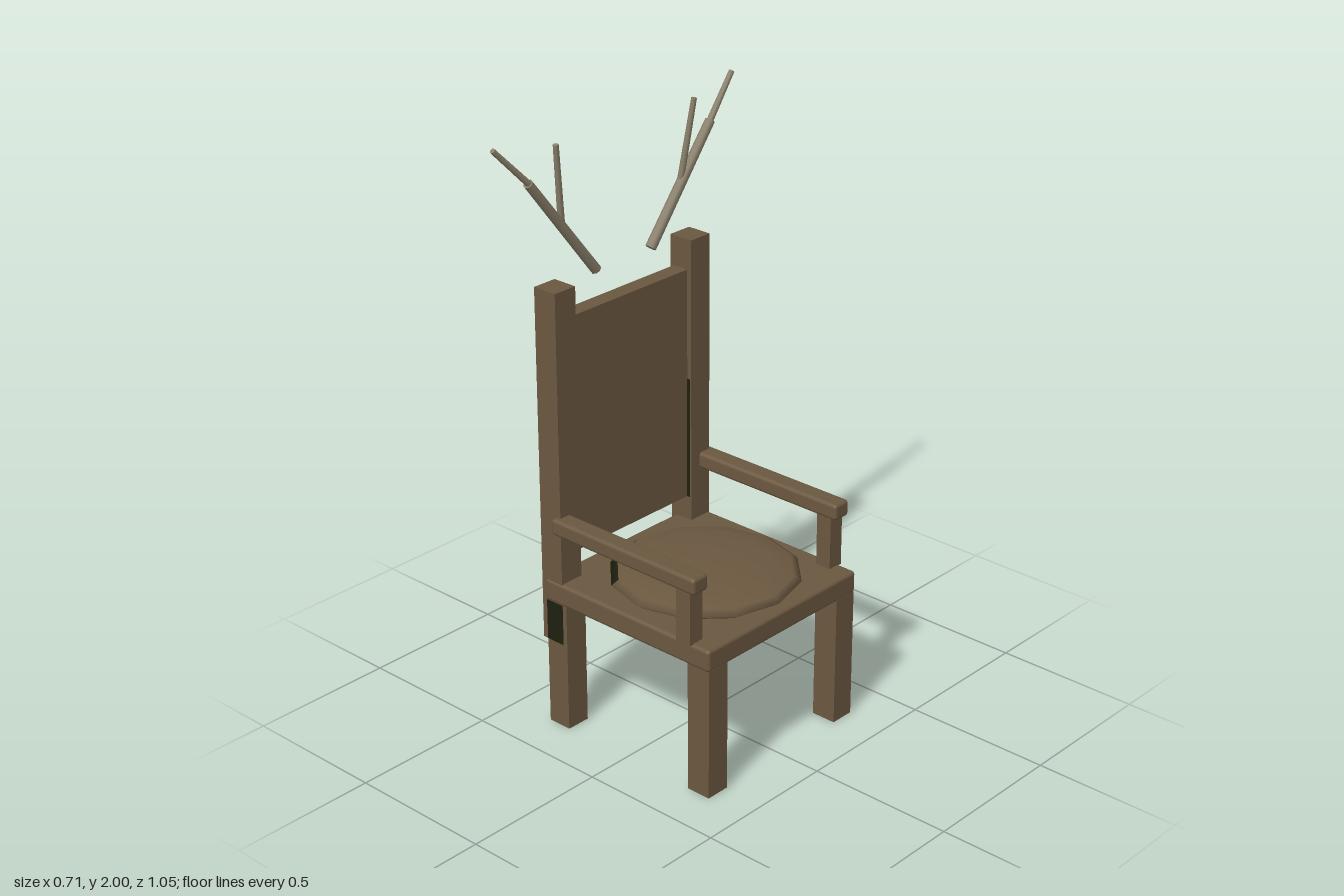
import * as THREE from 'three';
import { RoundedBoxGeometry } from 'three/addons/geometries/RoundedBoxGeometry.js';

const flat = (name, color) => {
  const m = new THREE.MeshStandardMaterial({ color });
  m.name = name;
  return m;
};

export function createModel() {
  const chair = new THREE.Group();
  chair.name = 'antlerChair';
  const wood = flat('brown wood', 0x6b5840);
  const antlerMat = flat('weathered antler', 0x8a806b);
  const dark = flat('dark stain', 0x1e2010);

  const add = (name, geometry, material, parent = chair) => {
    const mesh = new THREE.Mesh(geometry, material);
    mesh.name = name;
    parent.add(mesh);
    return mesh;
  };

  // Box given by its extents; a bevel radius makes it rounded
  const box = (name, [x0, x1], [y0, y1], [z0, z1], bevel = 0, material = wood) => {
    const size = [x1 - x0, y1 - y0, z1 - z0];
    const geometry = bevel ? new RoundedBoxGeometry(...size, 2, bevel) : new THREE.BoxGeometry(...size);
    add(name, geometry, material).position.set((x0 + x1) / 2, (y0 + y1) / 2, (z0 + z1) / 2);
  };

  // Seat and back panel (the chair faces +x)
  box('seat', [-0.345, 0.355], [0.447, 0.523], [-0.35, 0.35], 0.012);
  box('backPanel', [-0.345, -0.288], [0.607, 1.408], [-0.26, 0.26]);

  // Legs, posts and arms on both sides
  for (const s of [1, -1]) {
    const span = (a, b) => (s > 0 ? [a, b] : [-b, -a]);
    const side = s > 0 ? 'left' : 'right';
    box(side + 'BackLeg', [-0.34, -0.255], [0, 0.45], span(0.26, 0.345));
    box(side + 'FrontLeg', [0.265, 0.352], [0, 0.45], span(0.26, 0.345));
    box(side + 'BackPost', [-0.359, -0.271], [0.305, 1.51], span(0.2585, 0.3455));
    box(side + 'Armrest', [-0.296, 0.308], [0.7, 0.756], span(0.298, 0.365), 0.012);
    box(side + 'ArmSupport', [0.23, 0.286], [0.52, 0.702], span(0.302, 0.358));
  }

  // Dark stains at the post foot and beside the panel
  box('postStain', [-0.34, -0.271], [0.305, 0.447], [0.345, 0.3465], 0, dark);
  box('panelStain', [-0.288, -0.276], [0.607, 1.03], [-0.259, -0.257], 0, dark);

  // Cushion: flattened twelve-sided sphere, two rim cells per side stained
  const pad = new THREE.SphereGeometry(1, 12, 8);
  pad.scale(0.31, 0.043, 0.31);
  let start = 0;
  for (const cell of [186, 240, 258, 312]) {
    pad.addGroup(start, cell - start, 0);
    pad.addGroup(cell, 6, 1);
    start = cell + 6;
  }
  pad.addGroup(start, pad.index.count - start, 0);
  add('cushion', pad, [wood, dark]).position.set(0.025, 0.541, 0);

  // Antlers: a beam, an outer tine and an upright tine on each side
  const rod = (name, from, to, r0, r1, parent) => {
    const a = new THREE.Vector3(...from), b = new THREE.Vector3(...to);
    const dir = b.clone().sub(a);
    const mesh = add(name, new THREE.CylinderGeometry(r1, r0, dir.length(), 8), antlerMat, parent);
    mesh.position.copy(a).add(b).multiplyScalar(0.5);
    mesh.quaternion.setFromUnitVectors(new THREE.Vector3(0, 1, 0), dir.normalize());
  };
  for (const s of [1, -1]) {
    const antler = new THREE.Group();
    antler.name = s > 0 ? 'leftAntler' : 'rightAntler';
    rod('beam', [-0.317, 1.513, s * 0.122], [-0.317, 1.862, s * 0.398], 0.018, 0.016, antler);
    rod('outerTine', [-0.314, 1.85, s * 0.385], [-0.335, 1.99, s * 0.519], 0.011, 0.009, antler);
    rod('uprightTine', [-0.319, 1.7, s * 0.263], [-0.296, 1.963, s * 0.301], 0.011, 0.009, antler);
    chair.add(antler);
  }
  return chair;
}
